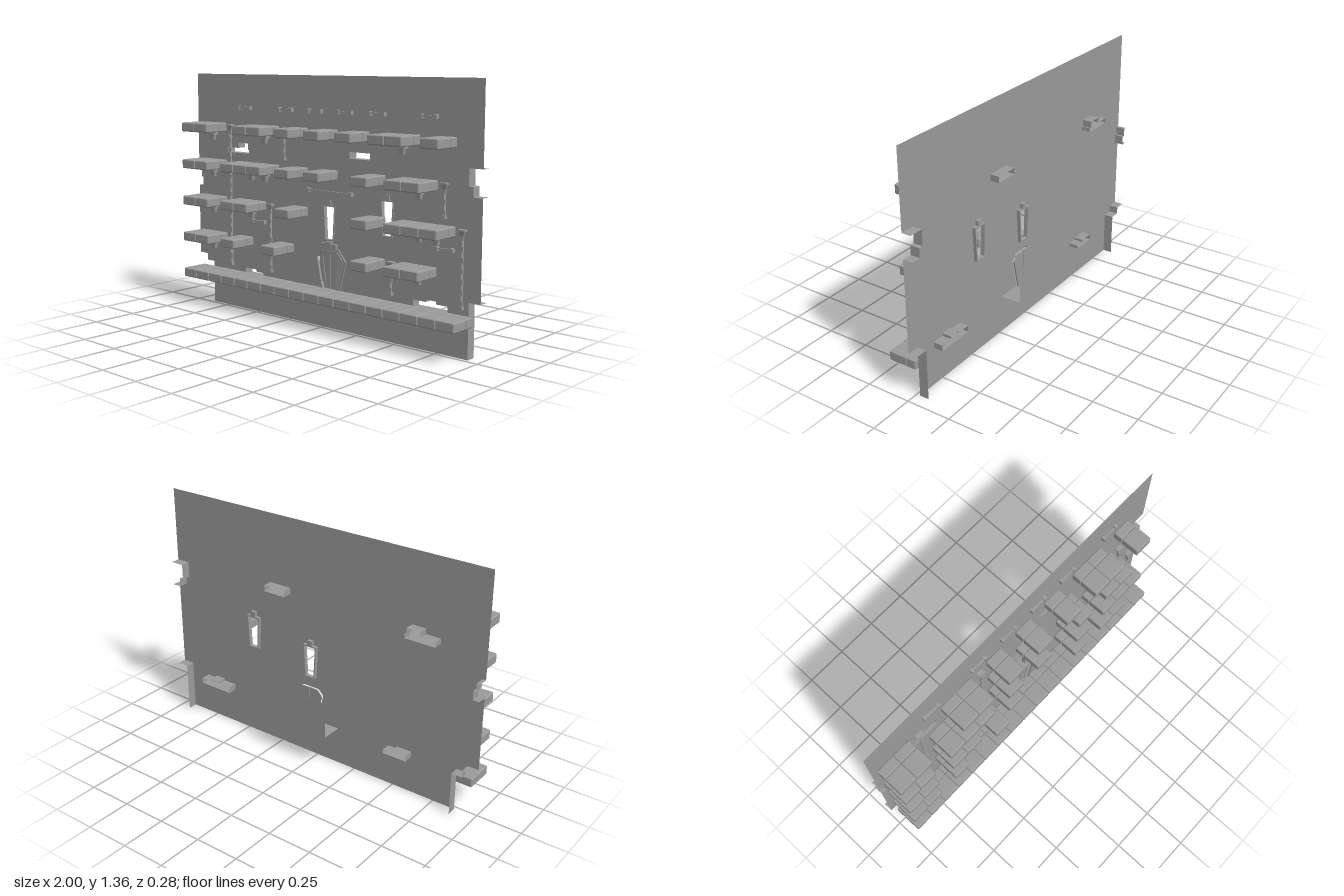
import * as THREE from 'three';
import { RoundedBoxGeometry } from 'three/addons/geometries/RoundedBoxGeometry.js';

const mat = new THREE.MeshStandardMaterial({ color: 0x9b9b9b, side: THREE.DoubleSide, flatShading: true });
const WALL = -0.021, BACK = -0.074, TILE = 0.107, X0 = -0.968;

function add(parent, name, geo, x = 0, y = 0, z = 0) {
  const m = new THREE.Mesh(geo, mat);
  m.name = name;
  m.position.set(x, y, z);
  parent.add(m);
  return m;
}
function box(parent, name, w, h, d, x, y, z) {
  return add(parent, name, new THREE.BoxGeometry(w, h, d), x, y, z);
}
function group(parent, name, x = 0, y = 0, z = 0) {
  const g = new THREE.Group();
  g.name = name;
  g.position.set(x, y, z);
  parent.add(g);
  return g;
}
const vecs = pts => pts.map(p => new THREE.Vector2(p[0], p[1]));

// Square four-sided taper, wide at the top
function taper(top, bottom, h) {
  return new THREE.CylinderGeometry(top * Math.SQRT2, bottom * Math.SQRT2, h, 4).rotateY(Math.PI / 4);
}

// Extruded outline with an optional opening
function slab(outer, inner, z0, z1) {
  const s = new THREE.Shape(vecs(outer));
  if (inner) s.holes.push(new THREE.Path(vecs(inner)));
  return new THREE.ExtrudeGeometry(s, { depth: z1 - z0, bevelEnabled: false }).translate(0, 0, z0);
}

// Thin reveal running back from the wall along a path
function reveal(parent, pts, closed) {
  const path = closed ? [...pts, pts[0]] : pts;
  const pos = [], idx = [];
  for (let i = 0; i + 1 < path.length; i++) {
    const [a, b] = [path[i], path[i + 1]], n = pos.length / 3;
    pos.push(a[0], a[1], WALL, b[0], b[1], WALL, b[0], b[1], BACK, a[0], a[1], BACK);
    idx.push(n, n + 1, n + 2, n, n + 2, n + 3);
  }
  const g = new THREE.BufferGeometry();
  g.setAttribute('position', new THREE.Float32BufferAttribute(pos, 3));
  g.setIndex(idx);
  g.computeVertexNormals();
  add(parent, 'wallReveal', g);
}

function bracket(parent, x, y) {
  const g = group(parent, 'bracket', x, y, WALL);
  box(g, 'bracketHead', 0.06, 0.02, 0.03, 0, -0.01, 0.015);
  add(g, 'bracketFoot', taper(0.017, 0.013, 0.03).scale(1, 1, 0.7), 0, -0.035, 0.012);
}

function chain(parent, x, top, bottom) {
  const g = group(parent, 'chain', x, 0, 0);
  box(g, 'chainCap', 0.042, 0.009, 0.024, 0, top - 0.005, 0);
  add(g, 'chainNeck', taper(0.016, 0.008, 0.022).scale(1, 1, 0.6), 0, top - 0.02, 0);
  const n = Math.round((top - bottom - 0.045) / 0.026), step = (top - bottom - 0.045) / n;
  for (let i = 0; i < n; i++) {
    const w = i % 2 ? 0.008 : 0.017, d = i % 2 ? 0.017 : 0.008;
    box(g, 'chainLink', w, step * 1.1, d, 0, top - 0.03 - step * (i + 0.5), 0);
  }
  box(g, 'chainEnd', 0.022, 0.016, 0.02, 0, bottom + 0.008, 0);
}

function rail(parent, x0, x1, y) {
  const g = group(parent, 'rail', (x0 + x1) / 2, y, -0.01);
  box(g, 'railBar', x1 - x0 - 0.03, 0.01, 0.01, 0, 0, 0);
  for (const s of [-1, 1]) box(g, 'railEnd', 0.018, 0.022, 0.02, s * ((x1 - x0) / 2 - 0.009), 0, 0);
}

// Window opening: slot that widens toward its head
function windowOutline(cx, y, grow) {
  const bottom = 0.026 + grow, top = 0.036 + grow;
  return [[cx + bottom, y - grow], [cx + top, y + 0.178 + grow], [cx - top, y + 0.178 + grow], [cx - bottom, y - grow]];
}

// Six-sided door outline, mirrored about its centre line
function doorOutline(bw, mw, tw, my, ty) {
  const h = [[bw, 0.215], [mw, my], [tw, ty]];
  return [...h.map(p => [0.045 + p[0], p[1]]), ...h.slice().reverse().map(p => [0.045 - p[0], p[1]])];
}

export function createModel() {
  const root = new THREE.Group();
  root.name = 'ruinedWall';

  // Wall sheet with broken edges and missing bricks
  const rightLow = [[0.932, 0], [0.932, 0.285], [1, 0.285]];
  const rightHigh = [[1, 0.795], [0.945, 0.795], [0.945, 0.845], [0.92, 0.845], [0.92, 0.932], [1, 0.932]];
  const leftHigh = [[-1, 0.79], [-0.98, 0.79], [-0.98, 0.745], [-0.965, 0.745], [-0.965, 0.695], [-1, 0.695]];
  const leftLow = [[-1, 0.285], [-0.937, 0.285], [-0.937, 0.245], [-0.878, 0.245], [-0.878, 0]];
  const gaps = [
    [[-0.745, 0.907], [-0.57, 0.907], [-0.57, 0.928], [-0.58, 0.928], [-0.58, 0.965], [-0.66, 0.965], [-0.66, 0.935], [-0.745, 0.935]],
    [[0.18, 0.928], [0.315, 0.928], [0.315, 0.963], [0.18, 0.963]],
    [[-0.607, 0.21], [-0.465, 0.21], [-0.465, 0.23], [-0.52, 0.23], [-0.52, 0.243], [-0.607, 0.243]],
    [[0.6, 0.212], [0.81, 0.212], [0.81, 0.245], [0.74, 0.245], [0.74, 0.26], [0.68, 0.26], [0.68, 0.248], [0.6, 0.248]],
  ];
  const windows = [[0.04, 0.485], [0.432, 0.549]];
  const doorInner = doorOutline(0.046, 0.083, 0.053, 0.383, 0.415);
  const wall = new THREE.Shape(vecs([...rightLow, ...rightHigh, [1, 1.355], [-1, 1.355], ...leftHigh, ...leftLow]));
  const openings = [...gaps, ...windows.map(w => windowOutline(w[0], w[1], 0)), doorInner];
  for (const o of openings) wall.holes.push(new THREE.Path(vecs(o)));
  add(root, 'wall', new THREE.ShapeGeometry(wall), 0, 0, WALL);
  for (const edge of [rightLow, rightHigh, leftHigh, leftLow]) reveal(root, edge, false);
  for (const gap of gaps) reveal(root, gap, true);

  // Window frames with a solid keystone on top
  for (const [x, y] of windows) {
    add(root, 'windowFrame', slab(windowOutline(x, y, 0.007), windowOutline(x, y, 0), -0.04, -0.017));
    box(root, 'windowKeystone', 0.03, 0.035, 0.026, x, y + 0.196, -0.027);
  }

  // Doorway: stepped frame on the wall, two recessed leaves and crown stones
  const door = group(root, 'doorway');
  const doorOuter = doorOutline(0.075, 0.118, 0.062, 0.375, 0.44);
  const doorMid = doorOutline(0.058, 0.098, 0.057, 0.38, 0.426);
  add(door, 'doorFrame', slab(doorOuter, doorMid, -0.021, -0.013));
  add(door, 'doorFrameInner', slab(doorMid, doorInner, -0.021, -0.008));
  for (const s of [-1, 1]) {
    const leaf = [[0.002, 0.215], [0.046, 0.215], [0.083, 0.383], [0.053, 0.415], [0.002, 0.415]];
    add(door, 'doorLeaf', slab(leaf.map(p => [0.045 + s * p[0], p[1]]), null, -0.035, -0.028));
    const strap = box(door, 'doorStrap', 0.006, 0.17, 0.005, 0.045 + s * 0.044, 0.3, -0.026);
    strap.rotation.z = -s * 0.16;
    box(door, 'crownStone', 0.032, 0.028, 0.016, 0.045 + s * 0.036, 0.451, -0.013);
  }
  box(door, 'keystone', 0.038, 0.038, 0.018, 0.045, 0.457, -0.012);

  // Alcove behind the door: back sheet and floor
  add(root, 'alcoveBack', new THREE.PlaneGeometry(0.37, 0.207), 0.045, 0.318, -0.14);
  add(root, 'alcoveFloor', new THREE.PlaneGeometry(0.37, 0.12).rotateX(-Math.PI / 2), 0.045, 0.215, -0.08);

  // Ledges: rows of [first tile, tile count]; a bracket hangs at each inner seam
  const rows = [
    [[0, 18]],
    [[0, 2], [3, 1], [6, 1], [12, 1], [14, 2]],
    [[0, 2], [3, 2], [7, 1], [12, 1], [14, 3]],
    [[0, 2], [3, 3], [7, 1], [9, 1], [12, 1], [14, 2]],
    [[0, 2], [4, 2], [7, 1], [9, 1], [11, 1], [13, 2], [16, 1]],
  ];
  const frontBlock = new RoundedBoxGeometry(TILE, 0.052, 0.104, 3, 0.007);
  const rearBlock = new RoundedBoxGeometry(TILE, 0.052, 0.056, 3, 0.007);
  rows.forEach((row, r) => {
    const y = 0.166 + r * 0.2145;
    for (const [first, count] of row) {
      const ledge = group(root, 'ledge');
      for (let i = 0; i < count; i++) {
        const x = X0 + (first + i) * TILE;
        add(ledge, 'ledgeFrontBlock', frontBlock, x + TILE / 2, y + 0.026, 0.087);
        add(ledge, 'ledgeRearBlock', rearBlock, x + TILE / 2, y + 0.026, 0.007);
        if (i && r) bracket(ledge, x, y);
      }
    }
  });

  // Hanging chains
  for (const [x, top, bottom] of [[-0.703, 1.07, 0.25], [-0.275, 1.07, 0.89], [-0.382, 0.64, 0.25],
    [0.795, 0.855, 0.68], [0.902, 0.64, 0.25], [0.473, 0.428, 0.25]]) chain(root, x, top, bottom);

  // Wall rails
  for (const x of [-0.65, -0.327, -0.113, 0.1, 0.315, 0.635]) rail(root, x, x + 0.107, 1.168);
  rail(root, -0.543, -0.436, 0.528);
  rail(root, 0.74, 0.847, 0.528);
  rail(root, -0.11, 0.207, 0.742);

  return root;
}
